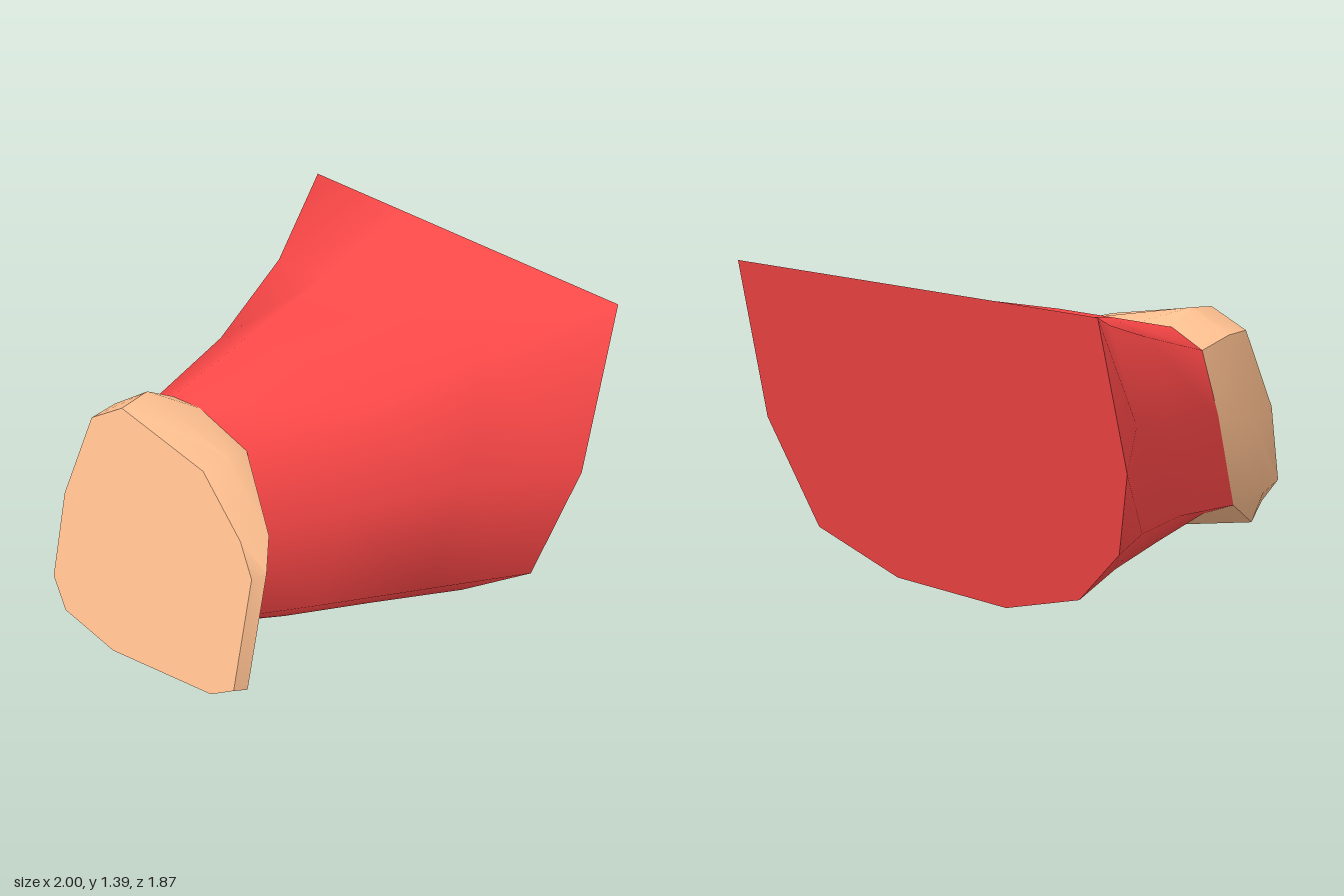
import * as THREE from 'three';
import { toCreasedNormals } from 'three/addons/utils/BufferGeometryUtils.js';

const SLOPE = 0.289; // every cross-section leans by this much x per unit of y

// Outlines as [z, y, optional x shift], running top -> back -> bottom -> front.
const fistEnd = [[-0.2, 1.055], [-0.36, 0.97], [-0.42, 0.64], [-0.38, 0.31], [-0.27, 0.2], [0.05, 0.125],
  [0.66, 0.12], [0.785, 0.17], [0.75, 0.62], [0.64, 0.745], [0.34, 0.95]];
const knuckles = [[-0.22, 1.08], [-0.39, 0.98], [-0.44, 0.6], [-0.41, 0.28], [-0.32, 0.14], [0.05, 0.08],
  [0.64, 0.09], [0.795, 0.16, -0.08], [0.76, 0.63, -0.08], [0.65, 0.735], [0.33, 0.96]];
const cuff = [[-0.22, 1.02], [-0.36, 0.935], [-0.38, 0.65], [-0.37, 0.25], [-0.2, 0.19], [0.02, 0.13],
  [0.17, 0.185], [0.29, 0.24], [0.31, 0.6], [0.27, 0.935], [-0.05, 1.02]];
const sleeveNear = [[-0.27, 1.15], [-0.44, 1.085], [-0.46, 0.67], [-0.44, 0.29], [-0.3, 0.16], [-0.02, 0.08],
  [0.27, 0.14], [0.45, 0.235], [0.5, 0.63], [0.48, 1.085], [0, 1.15]];
const sleeveFar = [[-0.36, 1.24], [-0.63, 1.24], [-0.67, 0.8], [-0.59, 0.31], [-0.41, 0.13], [-0.08, 0.04],
  [0.33, 0.1], [0.61, 0.235], [0.69, 0.67], [0.67, 1.24], [0.12, 1.24]];
const sleeveEnd = [[-0.4, 1.395], [-0.935, 1.395], [-0.935, 0.7], [-0.81, 0.325], [-0.55, 0.09], [-0.15, 0],
  [0.4, 0.06], [0.77, 0.235], [0.935, 0.7], [0.935, 1.395], [0.2, 1.395]];

// Place an outline on its leaning plane; baseX is x at y = 0.
const place = (outline, baseX) =>
  outline.map(([z, y, shift = 0]) => [baseX + SLOPE * y + shift, y, z]);

// Skin rings ordered by rising x and close one end with a flat fan.
function loft(rings, capFirst) {
  const n = rings[0].length;
  const points = rings.flat();
  const index = [];
  for (let i = 0; i < rings.length - 1; i++) {
    for (let j = 0; j < n; j++) {
      const a = i * n + j, c = i * n + ((j + 1) % n);
      index.push(a, a + n, c, a + n, c + n, c);
    }
  }
  // The cap has its own corners so its rim stays sharp
  const start = points.length;
  points.push(...(capFirst ? rings[0] : [...rings[rings.length - 1]].reverse()));
  for (let j = 1; j < n - 1; j++) index.push(start, start + j, start + j + 1);

  const geometry = new THREE.BufferGeometry();
  geometry.setAttribute('position', new THREE.Float32BufferAttribute(points.flat(), 3));
  geometry.setIndex(index);
  geometry.computeVertexNormals();
  return geometry;
}

function part(name, geometry, color) {
  const mesh = new THREE.Mesh(geometry, new THREE.MeshStandardMaterial({ color }));
  mesh.name = name;
  return mesh;
}

export function createModel() {
  const group = new THREE.Group();
  group.name = 'sleevedFist';
  const cuffRing = place(cuff, -0.727);

  // Sleeve: smooth walls flaring to the wide closed end
  const sleeve = loft([cuffRing, place(sleeveNear, -0.285), place(sleeveFar, 0.158), place(sleeveEnd, 0.597)], false);
  group.add(part('sleeve', sleeve, 0xff4848));

  // Fist: flat end, wide knuckle ring with the thumb side, narrowing to the cuff
  const fist = loft([place(fistEnd, -1.034), place(knuckles, -0.883), cuffRing], true);
  group.add(part('fist', toCreasedNormals(fist, 0.65), 0xffc090));

  return group;
}
